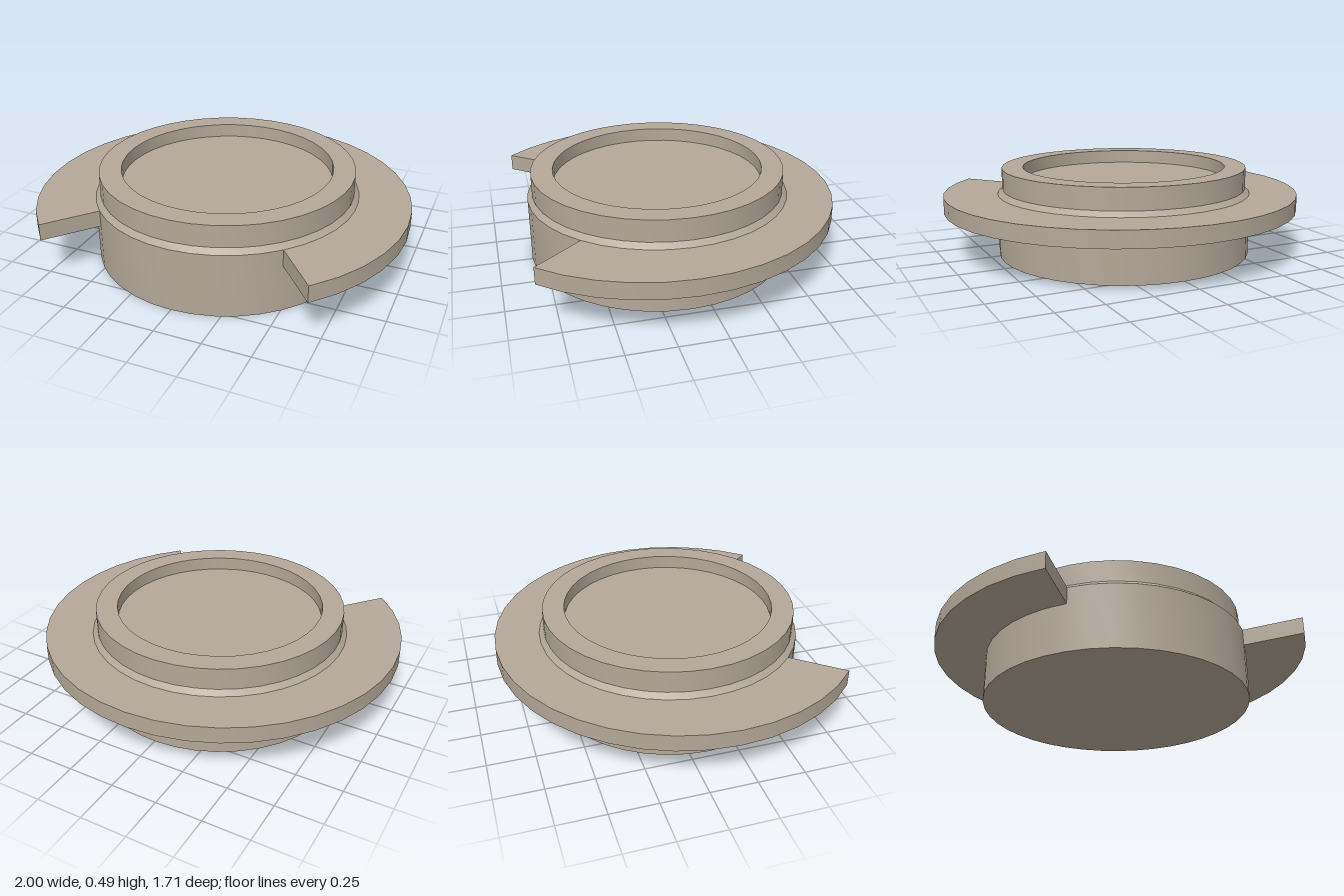
import * as THREE from 'three';
import { toCreasedNormals } from 'three/addons/utils/BufferGeometryUtils.js';

const SEGMENTS = 40;

// Points along an arc about (0, cy), 9 degrees apart over the 270 degree sweep
function arcPoints(cy, radius) {
  const points = [];
  for (let i = 0; i <= 30; i++) {
    const a = -Math.PI / 4 + (i / 30) * Math.PI * 1.5;
    points.push(new THREE.Vector2(Math.cos(a) * radius, cy + Math.sin(a) * radius));
  }
  return points;
}

export function createModel() {
  const group = new THREE.Group();
  group.name = 'flangedCap';
  const clay = new THREE.MeshStandardMaterial({ color: 0xb3a898 });
  clay.name = 'warm grey';

  // Round body: drum, chamfered shoulder, neck and shallow recess
  const profile = [
    [0, 0], [0.714, 0], [0.714, 0.345], [0.688, 0.372],
    [0.688, 0.49], [0.57, 0.49], [0.57, 0.415], [0, 0.415],
  ].map(([r, y]) => new THREE.Vector2(r, y));
  const body = new THREE.Mesh(toCreasedNormals(new THREE.LatheGeometry(profile, SEGMENTS), 0.5), clay);
  body.name = 'body';
  body.position.z = 0.102;
  group.add(body);

  // Three-quarter flange, open at the front and slightly off centre, its inner edge sunk into the body
  const outline = new THREE.Shape([...arcPoints(-0.146, 1), ...arcPoints(-0.102, 0.7).reverse()]);
  const plate = new THREE.ExtrudeGeometry(outline, { depth: 0.09, bevelEnabled: false });
  plate.rotateX(-Math.PI / 2);
  const flange = new THREE.Mesh(toCreasedNormals(plate, 0.5), clay);
  flange.name = 'flange';
  flange.position.y = 0.255;
  group.add(flange);

  return group;
}
